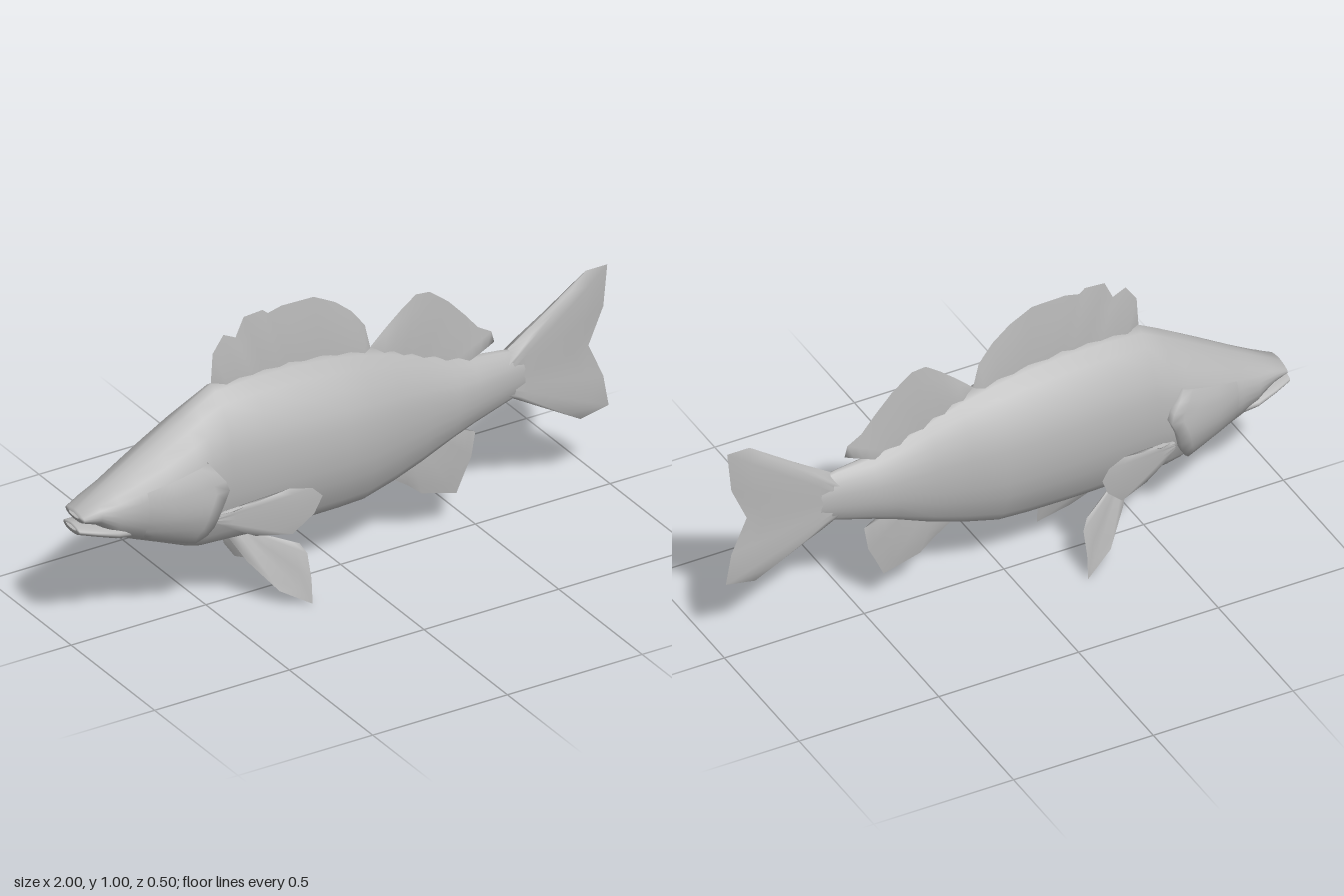
import * as THREE from 'three';
import { mergeGeometries, mergeVertices } from 'three/addons/utils/BufferGeometryUtils.js';

const skin = new THREE.MeshStandardMaterial({ color: 0xb8b8b8, side: THREE.DoubleSide });
skin.name = 'grey skin';

// Body stations: x, belly height, back height, half width
const STATIONS = [
  [-0.99, 0.465, 0.478, 0.03], [-0.985, 0.452, 0.488, 0.058], [-0.93, 0.43, 0.522, 0.075],
  [-0.87, 0.375, 0.56, 0.092], [-0.8, 0.342, 0.603, 0.11], [-0.7, 0.302, 0.665, 0.132],
  [-0.6, 0.26, 0.727, 0.138], [-0.55, 0.245, 0.757, 0.134], [-0.48, 0.24, 0.795, 0.134],
  [-0.35, 0.235, 0.805, 0.146], [-0.2, 0.235, 0.805, 0.155], [-0.05, 0.235, 0.79, 0.15],
  [0.05, 0.237, 0.77, 0.138], [0.17, 0.265, 0.735, 0.112], [0.28, 0.3, 0.69, 0.088],
  [0.4, 0.35, 0.64, 0.074], [0.48, 0.378, 0.617, 0.062], [0.6, 0.413, 0.602, 0.044],
  [0.7, 0.44, 0.58, 0.025], [0.8, 0.5, 0.54, 0.002],
];
// Half section: height fraction, width fraction
const SECTION = [
  [0, 0], [0.006, 0.26], [0.03, 0.42], [0.12, 0.7], [0.27, 0.89], [0.38, 0.97], [0.5, 1],
  [0.62, 0.97], [0.72, 0.88], [0.82, 0.7], [0.91, 0.46], [0.97, 0.2], [1, 0],
];

// Linear lookup in a table sorted by its first column
function lookup(table, key) {
  let i = 0;
  while (i < table.length - 2 && table[i + 1][0] < key) i++;
  const a = table[i], b = table[i + 1];
  const t = THREE.MathUtils.clamp((key - a[0]) / (b[0] - a[0]), 0, 1);
  return a.map((v, k) => v + (b[k] - v) * t);
}

function halfWidth(x, y) {
  const [, low, high, w] = lookup(STATIONS, x);
  return w * lookup(SECTION, (y - low) / (high - low))[1];
}

// Surface grid from a point function of two integer steps
function grid(nu, nv, point) {
  const pos = [], index = [];
  for (let i = 0; i <= nu; i++) for (let j = 0; j <= nv; j++) {
    pos.push(...point(i, j));
    if (i < nu && j < nv) {
      const a = i * (nv + 1) + j, b = a + nv + 1;
      index.push(a, a + 1, b, b, a + 1, b + 1);
    }
  }
  const g = new THREE.BufferGeometry();
  g.setAttribute('position', new THREE.Float32BufferAttribute(pos, 3));
  g.setIndex(index);
  g.computeVertexNormals();
  return g;
}

function mesh(name, geometry) {
  const m = new THREE.Mesh(geometry, skin);
  m.name = name;
  return m;
}

// Closed egg-shaped loft through stations
function loft(stations) {
  const n = SECTION.length - 1;
  const g = mergeVertices(grid(stations.length - 1, 2 * n, (i, j) => {
    const [x, low, high, w] = stations[i];
    const [t, k] = SECTION[j <= n ? j : 2 * n - j];
    return [x, low + (high - low) * t, (j <= n ? 1 : -1) * w * k];
  }), 1e-5);
  g.computeVertexNormals();
  return g;
}

// Two-sided fin: rays run from the base line to the rim, thinning to a sharp edge
function fin(baseStart, baseEnd, rim, thickness, normal = [0, 0, 1], ridge = 0.3) {
  const n = rim.length - 1, rows = 5;
  const side = new THREE.Vector3(...normal).normalize();
  const start = new THREE.Vector3(...baseStart), end = new THREE.Vector3(...baseEnd);
  const face = (sign) => grid(n, rows, (i, j) => {
    const t = j / rows;
    const p = start.clone().lerp(end, i / n);
    p.lerp(new THREE.Vector3(rim[i][0], rim[i][1], rim[i][2] || 0), t);
    const ends = i === 0 || i === n ? 0 : 1;
    const w = thickness * (1 - t * t) * ends * (i % 2 ? 1 : 1 - ridge);
    return p.addScaledVector(side, sign * w).toArray();
  });
  return mergeGeometries([face(1), face(-1)]);
}

// Gill cover hugging the head and flaring out at its free rear edge
function gillCover(s) {
  const rear = [[0.27, -0.63], [0.35, -0.565], [0.44, -0.54], [0.51, -0.508], [0.55, -0.54], [0.595, -0.572]];
  const rows = 10, cols = 6;
  return grid(cols + 1, rows, (i, j) => {
    const v = j / rows, u = Math.min(i / cols, 1);
    const y = 0.27 + 0.325 * v;
    const yy = y + (1 - u) * (0.5 - v) * 0.12;
    const x = THREE.MathUtils.lerp(-0.78, lookup(rear, y)[1], u);
    const flare = 0.036 * u * Math.pow(Math.sin(Math.PI * (0.04 + 0.92 * v)), 0.6);
    const off = i > cols ? -0.01 : flare + 0.001;
    return [x, yy, s * (halfWidth(x, yy) + off)];
  });
}

export function createModel() {
  const fish = new THREE.Group();
  fish.name = 'fish';

  fish.add(mesh('body', loft(STATIONS)));
  fish.add(mesh('lowerJaw', loft([
    [-1, 0.425, 0.438, 0.03], [-0.998, 0.412, 0.446, 0.05], [-0.94, 0.394, 0.437, 0.068],
    [-0.87, 0.371, 0.43, 0.084], [-0.78, 0.345, 0.42, 0.07],
  ])));

  // Fins on the centre line
  fish.add(mesh('frontDorsalFin', fin([-0.46, 0.73, 0], [0.12, 0.7, 0], [
    [-0.482, 0.79], [-0.475, 0.9], [-0.435, 0.957], [-0.39, 0.935], [-0.36, 1.0], [-0.29, 1.005],
    [-0.27, 0.988], [-0.22, 1.0], [-0.1, 0.997], [-0.02, 0.955], [0.04, 0.905], [0.09, 0.84], [0.11, 0.755],
  ], 0.022)));
  fish.add(mesh('rearDorsalFin', fin([0.11, 0.7, 0], [0.45, 0.58, 0], [
    [0.11, 0.755], [0.17, 0.81], [0.23, 0.86], [0.28, 0.895], [0.33, 0.89], [0.4, 0.835],
    [0.46, 0.77], [0.51, 0.71], [0.56, 0.68], [0.57, 0.64], [0.46, 0.615],
  ], 0.02, [0, 0, 1], 0.5)));
  fish.add(mesh('analFin', fin([0.18, 0.32, 0], [0.42, 0.4, 0], [
    [0.17, 0.27], [0.25, 0.215], [0.3, 0.172], [0.43, 0.135], [0.46, 0.2], [0.485, 0.25], [0.5, 0.337], [0.43, 0.362],
  ], 0.018)));
  fish.add(mesh('tailFin', fin([0.6, 0.57, 0], [0.6, 0.44, 0], [
    [0.62, 0.6], [0.75, 0.685], [0.91, 0.797], [0.99, 0.797], [0.975, 0.65], [0.92, 0.525],
    [0.975, 0.4], [0.995, 0.288], [0.89, 0.268], [0.76, 0.345], [0.64, 0.415],
  ], 0.034, [0, 0, 1], 0.15)));

  // Paired parts on both flanks
  for (const s of [1, -1]) {
    const tag = s > 0 ? 'left' : 'right';
    fish.add(mesh(tag + 'GillCover', gillCover(s)));
    const pectoral = [[-0.5, 0.395], [-0.42, 0.425], [-0.32, 0.467], [-0.25, 0.462], [-0.22, 0.432],
      [-0.245, 0.37], [-0.31, 0.302], [-0.42, 0.307], [-0.5, 0.365]]
      .map(([x, y]) => [x, y, s * (0.128 + 0.4 * (x + 0.52))]);
    fish.add(mesh(tag + 'PectoralFin', fin([-0.54, 0.395, s * 0.118], [-0.54, 0.37, s * 0.118],
      pectoral, 0.014, [-0.4, 0, s])));
    fish.add(mesh(tag + 'PelvicFin', fin([-0.43, 0.25, s * 0.03], [-0.36, 0.25, s * 0.05], [
      [-0.43, 0.235, s * 0.025], [-0.39, 0.16, s * 0.07], [-0.31, 0.06, s * 0.135], [-0.21, 0.003, s * 0.172],
      [-0.21, 0.09, s * 0.165], [-0.21, 0.17, s * 0.14], [-0.23, 0.205, s * 0.125], [-0.35, 0.235, s * 0.06],
    ], 0.012, [0.3, 0.6, s])));
  }
  return fish;
}
